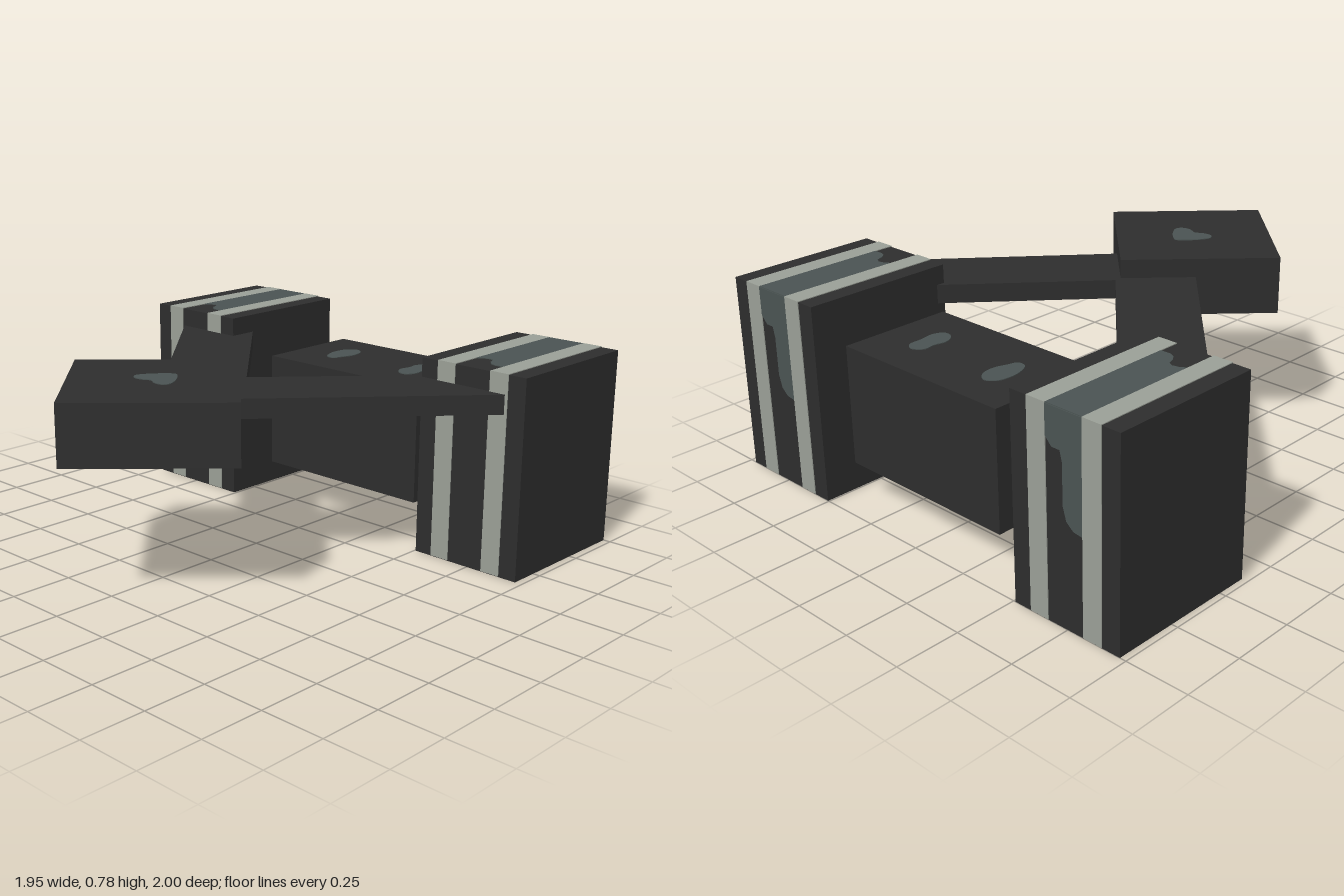
import * as THREE from 'three';

export function createModel() {
  const model = new THREE.Group();
  const mat = (name, color) => {
    const m = new THREE.MeshStandardMaterial({ color });
    m.name = name;
    return m;
  };
  const charcoal = mat('charcoal', 0x2d2d2d);
  const paleGrey = mat('paleGrey', 0x9a9f96);
  const slate = mat('slate', 0x4a5352);
  const T = 0.003; // thickness of painted plates

  const add = (parent, name, geometry, material) => {
    const mesh = new THREE.Mesh(geometry, material);
    mesh.name = name;
    parent.add(mesh);
    return mesh;
  };
  // Box given by its limits on each axis
  const box = (x0, x1, y0, y1, z0, z1) =>
    new THREE.BoxGeometry(x1 - x0, y1 - y0, z1 - z0)
      .translate((x0 + x1) / 2, (y0 + y1) / 2, (z0 + z1) / 2);

  const toVectors = (pts) => pts.map(([a, b]) => new THREE.Vector2(a, b));
  const rounded = (pts) => {
    const v = pts.map(([a, b]) => new THREE.Vector3(a, b, 0));
    return new THREE.CatmullRomCurve3(v, true).getPoints(40).slice(0, -1).map((p) => [p.x, p.y]);
  };
  const extrude = (pts, depth) =>
    new THREE.ExtrudeGeometry(new THREE.Shape(toVectors(pts)), { depth, bevelEnabled: false });
  // Horizontal slab from an (x, z) outline, with its top at y
  const slab = (pts, top, depth) => extrude(pts, depth).rotateX(Math.PI / 2).translate(0, top, 0);

  // Striped side blocks
  const H = 0.78, back = -1, front = -0.38;
  for (const [name, cx] of [['rightBlock', -0.742], ['leftBlock', 0.738]]) {
    const g = new THREE.Group();
    g.name = name;
    g.position.x = cx;
    model.add(g);
    add(g, 'blockBody', box(-0.233, 0.233, 0, H, back, front), charcoal);
    // Stripes wrap over the front, top and back
    for (const s of [-1, 1]) {
      add(g, 'stripe', box(s * 0.118 - 0.04, s * 0.118 + 0.04, T, H + T, back - T, front + T), paleGrey);
    }
    // Worn patch on the top, with a wavy front corner
    add(g, 'topPatch', slab([
      [-0.078, back], [0.078, back], [0.078, -0.46], [0.035, -0.46], [0.015, -0.47],
      [0, -0.49], [-0.01, -0.52], [-0.03, -0.53], [-0.055, -0.525], [-0.078, -0.51],
    ], H + T, T), slate);
    // Worn patch on the back, ending in a rounded tongue
    add(g, 'backPatch', extrude([
      [-0.078, H], [0.078, H], [0.078, 0.67], [0.05, 0.64], [0.015, 0.64], [0.005, 0.6],
      [0.005, 0.45], [-0.01, 0.4], [-0.04, 0.375], [-0.078, 0.37],
    ], T).translate(0, 0, back - T), slate);
  }

  // Middle block with two spots
  add(model, 'middleBlock', box(-0.355, 0.425, 0.16, 0.63, -0.92, -0.46), charcoal);
  const spots = [
    [[-0.16, -0.79], [-0.12, -0.76], [-0.11, -0.70], [-0.125, -0.65], [-0.14, -0.61],
      [-0.175, -0.61], [-0.2, -0.65], [-0.21, -0.70], [-0.2, -0.76]],
    [[0.23, -0.78], [0.265, -0.76], [0.27, -0.70], [0.277, -0.64], [0.255, -0.6],
      [0.215, -0.605], [0.187, -0.65], [0.195, -0.70], [0.192, -0.75]],
  ];
  spots.forEach((p) => add(model, 'middleSpot', slab(rounded(p), 0.63 + T, T), slate));

  // Diamond block at the front, with a patch above and below
  const dx = 0.037, dz = 0.56, r = 0.44;
  add(model, 'diamondBlock',
    slab([[dx - r, dz], [dx, dz - r], [dx + r, dz], [dx, dz + r]], H, 0.23), charcoal);
  const heart = rounded([
    [0, -0.11], [0.035, -0.085], [0.075, -0.035], [0.09, 0.005], [0.07, 0.028], [0.035, 0.028],
    [0, 0.012], [-0.035, 0.028], [-0.07, 0.028], [-0.09, 0.005], [-0.075, -0.035], [-0.035, -0.085],
  ]).map(([x, z]) => [x + dx, z + dz]);
  add(model, 'diamondTopPatch', slab(heart, H + T, T), slate);
  add(model, 'diamondBottomPatch', slab(heart, 0.55, T), slate);

  // Diagonal arms from the diamond into the side blocks
  for (const s of [-1, 1]) {
    const p = [[0, 0.09], [0.205, 0.33], [0.85, -0.38], [0.9, -0.435], [0.695, -0.66]];
    const arm = p.map(([x, z]) => [dx + s * x, z]);
    arm.push([dx, 0.3]);
    // Outline runs from the diamond centre out along both edges
    const outline = [arm[0], arm[4], arm[3], arm[2], arm[1], arm[5]];
    add(model, s < 0 ? 'rightArm' : 'leftArm', slab(outline, 0.705, 0.075), charcoal);
  }
  return model;
}
